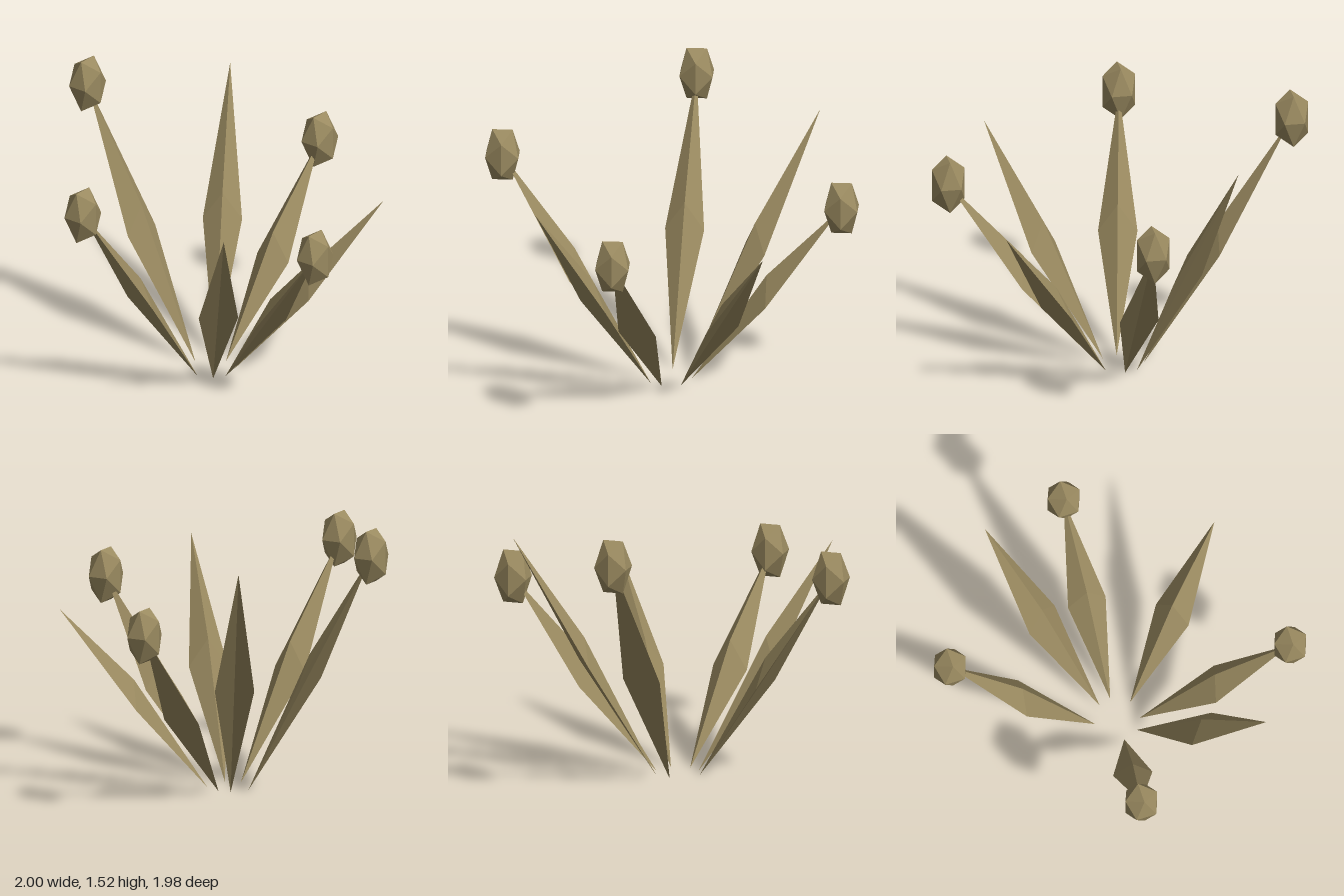
import * as THREE from 'three';

const tan = new THREE.MeshStandardMaterial({ color: 0x9a8a60, flatShading: true, side: THREE.DoubleSide });
tan.name = 'dry tan';

// base point, tip point, and whether the blade carries a bud
const blades = [
  [[0, 0, -0.11], [0.07, 1.38, -0.9], true],
  [[0.095, 0, -0.055], [0.76, 1.37, -0.48], false],
  [[0.11, 0, 0.01], [0.91, 1.01, 0.01], true],
  [[0.06, 0, 0.105], [0.545, 1.0, 0.735], false],
  [[-0.04, 0, 0.125], [-0.245, 1.01, 0.9], true],
  [[-0.1, 0, 0.09], [-0.68, 1.18, 0.625], false],
  [[-0.13, 0, 0.01], [-0.91, 1.195, -0.15], true],
];

// Slender ridged blade: widest halfway, ridge on top, shallow underside
function bladeGeometry(base, tip) {
  const mid = base.clone().lerp(tip, 0.5);
  const side = new THREE.Vector3(tip.z - base.z, 0, base.x - tip.x).normalize();
  const left = mid.clone().addScaledVector(side, 0.105);
  const right = mid.clone().addScaledVector(side, -0.105);
  left.y -= 0.045;
  right.y -= 0.045;
  const ridge = mid.clone();
  ridge.y += 0.105;
  const points = [base, left, right, ridge, tip];
  const g = new THREE.BufferGeometry();
  g.setAttribute('position', new THREE.Float32BufferAttribute(points.flatMap((p) => p.toArray()), 3));
  g.setIndex([0, 1, 3, 1, 4, 3, 0, 3, 2, 3, 4, 2, 0, 4, 1, 0, 2, 4]);
  const flat = g.toNonIndexed();
  flat.computeVertexNormals();
  return flat;
}

export function createModel() {
  const group = new THREE.Group();
  group.name = 'spikyPlant';
  // Tall faceted bud, shared by the budding blades
  const budGeometry = new THREE.IcosahedronGeometry(0.104, 0).scale(1, 1.63, 1);
  budGeometry.computeVertexNormals();

  blades.forEach(([b, t, hasBud], i) => {
    const base = new THREE.Vector3(...b);
    const tip = new THREE.Vector3(...t);
    const blade = new THREE.Mesh(bladeGeometry(base, tip), tan);
    blade.name = `blade${i + 1}`;
    group.add(blade);
    if (hasBud) {
      const bud = new THREE.Mesh(budGeometry, tan);
      bud.name = `bud${i + 1}`;
      bud.position.copy(tip);
      group.add(bud);
    }
  });
  return group;
}
